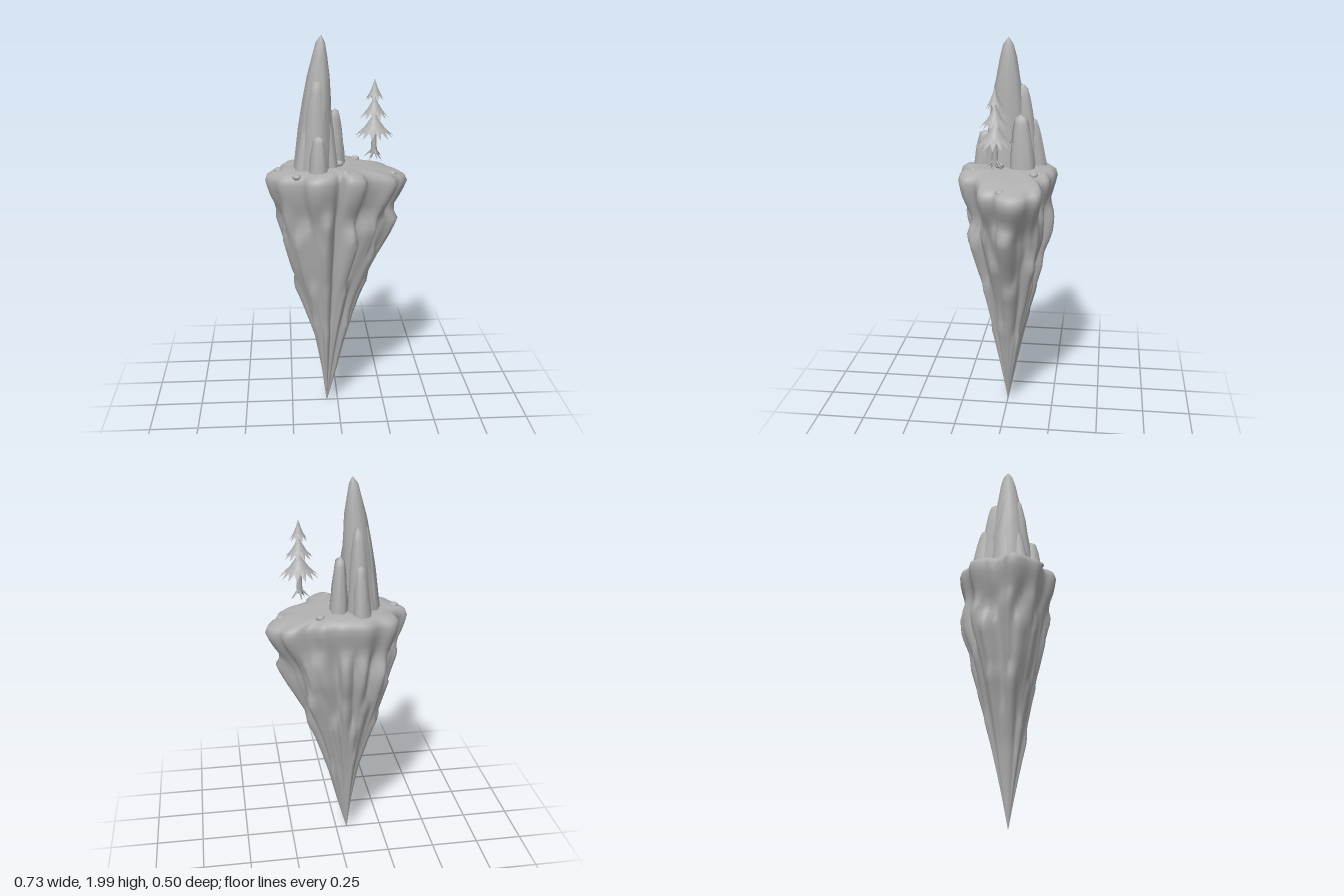
import * as THREE from 'three';

const stone = new THREE.MeshStandardMaterial({ color: 0xb0b0b0, side: THREE.DoubleSide });
stone.name = 'grey stone';

// Skin a stack of rings (bottom to top, each running counter-clockwise seen from above)
function loft(rings) {
  const n = rings[0].length, index = [];
  for (let i = 0; i < rings.length - 1; i++) {
    for (let j = 0; j < n; j++) {
      const k = (j + 1) % n, a = i * n + j, b = i * n + k, c = b + n, d = a + n;
      index.push(a, b, c, a, c, d);
    }
  }
  const g = new THREE.BufferGeometry();
  g.setAttribute('position', new THREE.Float32BufferAttribute(rings.flat(2), 3));
  g.setIndex(index);
  g.computeVertexNormals();
  return g;
}

function addMesh(parent, name, geometry) {
  const m = new THREE.Mesh(geometry, stone);
  m.name = name;
  parent.add(m);
  return m;
}

function seeded(seed) {
  return () => (seed = (seed * 16807) % 2147483647) / 2147483647;
}

// Plan of the island rim: x, z
const RIM = [
  [0.365, -0.06], [0.345, -0.11], [0.3, -0.145], [0.29, -0.18], [0.24, -0.2], [0.155, -0.185],
  [0.105, -0.225], [0.055, -0.225], [0.02, -0.245], [-0.045, -0.25], [-0.125, -0.25], [-0.19, -0.21],
  [-0.255, -0.205], [-0.295, -0.145], [-0.29, -0.09], [-0.325, -0.035], [-0.36, -0.02], [-0.365, 0.03],
  [-0.32, 0.1], [-0.295, 0.145], [-0.185, 0.185], [-0.155, 0.235], [-0.1, 0.25], [-0.03, 0.225],
  [0, 0.19], [0.04, 0.235], [0.1, 0.23], [0.13, 0.205], [0.135, 0.155], [0.2, 0.125],
  [0.275, 0.11], [0.3, 0.075], [0.3, 0.03], [0.33, 0.015],
];
// Reach of the rock at each height: y, left x, right x, back z, front z
const REACH = [
  [0.01, -0.062, -0.058, -0.002, 0.002], [0.2, -0.088, 0, -0.042, 0.042], [0.4, -0.125, 0.05, -0.085, 0.083],
  [0.65, -0.2, 0.125, -0.145, 0.13], [0.8, -0.255, 0.185, -0.175, 0.165], [0.97, -0.29, 0.26, -0.225, 0.195],
  [1.15, -0.335, 0.315, -0.225, 0.23], [1.26, -0.365, 0.365, -0.25, 0.25],
];
const CX = -0.06;

function reachAt(y) {
  let i = 0;
  while (i < REACH.length - 2 && y > REACH[i + 1][0]) i++;
  const a = REACH[i], b = REACH[i + 1];
  const t = Math.min(1, (y - a[0]) / (b[0] - a[0]));
  return a.map((v, k) => v + (b[k] - v) * t);
}

const groundY = (x) => 1.36 - 0.18 * Math.max(0, x - 0.05) - 0.08 * Math.max(0, -x - 0.05);

function islandGeometry() {
  const curve = new THREE.CatmullRomCurve3(RIM.map(([x, z]) => new THREE.Vector3(x, 0, z)), true);
  const plan = curve.getSpacedPoints(110).slice(0, -1);
  const rand = seeded(41);
  // Staggered buttresses that swell under a shoulder and run down into the tip
  const lobes = [];
  [[1.08, 11], [0.92, 9], [0.7, 8], [0.48, 6]].forEach(([y, n], tier) => {
    for (let i = 0; i < n; i++) {
      lobes.push({
        angle: ((i + tier * 0.5 + rand() * 0.4) / n) * Math.PI * 2,
        top: y + (rand() - 0.5) * 0.16, width: 2.4 / n, amp: 0.16 + rand() * 0.1,
      });
    }
  });
  const bulge = (angle, y) => {
    let best = 0;
    for (const l of lobes) {
      const d = Math.atan2(Math.sin(angle - l.angle), Math.cos(angle - l.angle)) / l.width;
      const rise = y < l.top ? Math.max(0, 1 - (l.top - y) / 0.5) : Math.max(0, 1 - (y - l.top) / 0.09);
      best = Math.max(best, l.amp * Math.max(0, 1 - d * d) * rise);
    }
    return best;
  };
  const rings = [];
  const rows = 32;
  for (let i = 0; i <= rows; i++) {
    const t = i / rows;
    rings.push(plan.map((p) => {
      const rimY = groundY(p.x) - 0.05;
      const y = 0.01 + t * (rimY - 0.01);
      const [, left, right, back, front] = reachAt(0.01 + t * 1.25);
      const fade = THREE.MathUtils.smoothstep(t, 0.82, 0.96);
      const s = THREE.MathUtils.lerp(0.87 + bulge(Math.atan2(-p.z, p.x - CX), y), 1, fade);
      const sx = p.x > CX ? (right - CX) / 0.425 : (CX - left) / 0.305;
      const sz = (p.z > 0 ? front : -back) / 0.25;
      return [CX + (p.x - CX) * sx * s, y, p.z * sz * s];
    }));
  }
  // Rounded rim and gently domed ground
  for (const [f, drop] of [[0.97, 0.022], [0.88, 0.006], [0.65, 0], [0.35, 0], [0.001, 0]]) {
    rings.push(plan.map((p) => {
      const x = CX + (p.x - CX) * f;
      return [x, groundY(x) - drop, p.z * f];
    }));
  }
  return loft(rings);
}

// Irregular tapering rock column leaning from its base to its top
function columnGeometry([x, z, tx, tz, top, rx, rz, blunt], seed) {
  const rand = seeded(seed * 977 + 13);
  const n = 10, base = 1.3;
  const wobble = Array.from({ length: n }, () => 0.88 + rand() * 0.24);
  const steps = [[0, 1.1], [0.15, 0.98], [0.35, 0.86], [0.55, 0.7], [0.72, 0.54], [0.86, 0.36], [0.95, 0.2], [1, 0.002]];
  return loft(steps.map(([t, r], i) => {
    const s = i === steps.length - 1 ? r : THREE.MathUtils.lerp(r, 1 - 0.3 * t * t, blunt);
    return wobble.map((w, j) => {
      const a = (j / n) * Math.PI * 2, k = s * (w + (rand() - 0.5) * 0.1);
      return [x + (tx - x) * t + Math.cos(a) * rx * k, base + (top - base) * t, z + (tz - z) * t - Math.sin(a) * rz * k];
    });
  }));
}

// Jagged hollow skirt of branches
function skirtGeometry(top, bottom, radius, points, turn) {
  const h = top - bottom;
  const ring = (r, y, r2 = r, y2 = y) => Array.from({ length: points * 2 }, (_, j) => {
    const a = (j / points) * Math.PI + turn, tip = j % 2 === 0;
    return [Math.cos(a) * (tip ? r : r2), tip ? y : y2, -Math.sin(a) * (tip ? r : r2)];
  });
  return loft([
    ring(radius, bottom, radius * 0.66, bottom + h * 0.24),
    ring(radius * 0.5, bottom + h * 0.38),
    ring(radius * 0.22, bottom + h * 0.7),
    ring(0.001, top),
  ]).toNonIndexed();
}

function createTree() {
  const tree = new THREE.Group();
  tree.name = 'pineTree';
  [[1.63, 1.505, 0.1, 14], [1.71, 1.6, 0.073, 12], [1.79, 1.69, 0.047, 10]].forEach(([top, bottom, r, n], i) => {
    const g = skirtGeometry(top, bottom, r, n, i * 0.3);
    g.computeVertexNormals();
    addMesh(tree, 'branches' + (i + 1), g);
  });
  const trunk = addMesh(tree, 'trunk', new THREE.CylinderGeometry(0.009, 0.016, 0.2, 7));
  trunk.position.y = 1.52;
  // Spreading roots
  for (let i = 0; i < 6; i++) {
    const a = (i / 6) * Math.PI * 2 + 0.3, r = i % 2 ? 0.055 : 0.042;
    const from = new THREE.Vector3(0, 1.445, 0);
    const to = new THREE.Vector3(Math.cos(a) * r, i % 2 ? 1.4 : 1.385, Math.sin(a) * r);
    const dir = to.clone().sub(from);
    const root = addMesh(tree, 'root', new THREE.ConeGeometry(0.009, dir.length(), 5));
    root.position.copy(from).add(to).multiplyScalar(0.5);
    root.quaternion.setFromUnitVectors(new THREE.Vector3(0, 1, 0), dir.normalize());
  }
  tree.position.set(0.18, 0, 0.035);
  return tree;
}

export function createModel() {
  const model = new THREE.Group();
  model.name = 'floatingIsland';
  addMesh(model, 'islandRock', islandGeometry());

  // Peak: base x, z, top x, z, top y, radius x, z, bluntness
  const peak = new THREE.Group();
  peak.name = 'peak';
  [
    [-0.115, 0.0, -0.08, 0.0, 2.0, 0.1, 0.12, 0.05],
    [-0.11, 0.06, -0.1, 0.045, 1.8, 0.075, 0.075, 0.3],
    [-0.1, 0.125, -0.1, 0.12, 1.53, 0.05, 0.055, 0.6],
    [-0.1, -0.09, -0.095, -0.07, 1.77, 0.06, 0.07, 0.35],
    [-0.105, -0.14, -0.1, -0.115, 1.6, 0.05, 0.06, 0.45],
    [-0.175, -0.02, -0.14, -0.01, 1.78, 0.048, 0.065, 0.2],
    [-0.18, 0.06, -0.15, 0.04, 1.6, 0.045, 0.045, 0.3],
    [0.0, -0.08, -0.01, -0.07, 1.63, 0.05, 0.065, 0.5],
    [-0.04, 0.02, -0.06, 0.01, 1.72, 0.045, 0.07, 0.3],
  ].forEach((c, i) => addMesh(peak, 'rockColumn' + (i + 1), columnGeometry(c, i + 1)));
  model.add(peak);

  // Pebbles lying on the ground
  for (const [x, y, z] of [[-0.3, 1.335, 0.015], [-0.21, 1.335, 0.155], [0.03, 1.35, 0.165],
    [0.005, 1.37, 0.035], [0.1, 1.35, -0.145], [0.28, 1.305, 0]]) {
    const g = new THREE.SphereGeometry(0.023, 8, 6);
    const pebble = addMesh(model, 'pebble', g);
    pebble.scale.y = 0.7;
    pebble.position.set(x, y, z);
  }

  model.add(createTree());
  return model;
}
